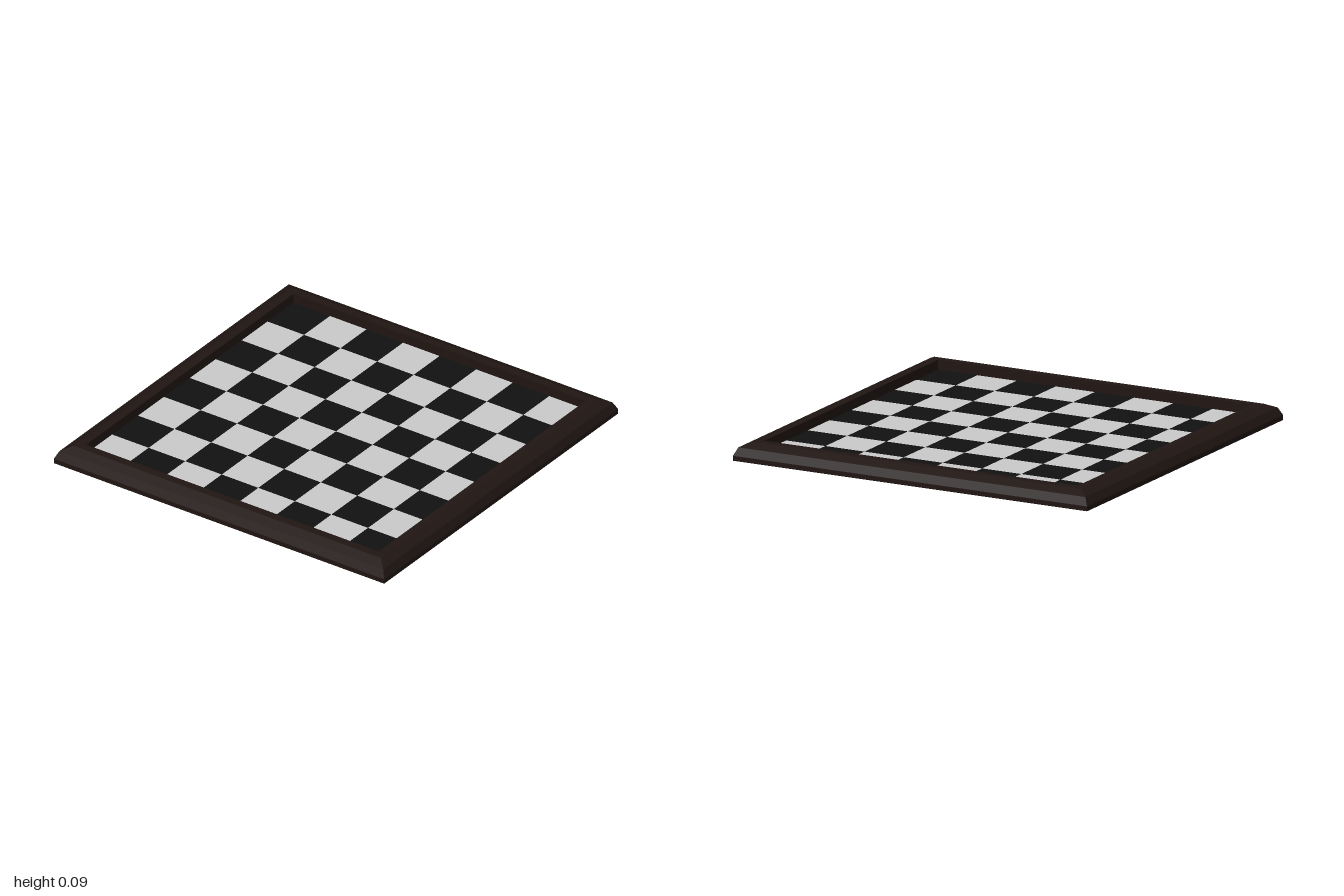
import * as THREE from 'three';

const FIELD = 0.885;   // half width of the playing field
const FLOOR = 0.04;    // height of the sunken field
const COUNT = 8;

export function createModel() {
  const board = new THREE.Group();
  board.name = 'chessboard';

  const wood = new THREE.MeshStandardMaterial({ color: 0x201613, flatShading: true });
  const light = new THREE.MeshStandardMaterial({ color: 0xcccccc });
  const dark = new THREE.MeshStandardMaterial({ color: 0x111111 });

  // Frame: a bevelled moulding swept round a square, closed underneath
  const profile = [
    [0, 0], [1, 0], [1, 0.025], [0.98, 0.066], [0.93, 0.09], [FIELD, 0.09], [FIELD, FLOOR],
  ].map(([r, y]) => new THREE.Vector2(r * Math.SQRT2, y));
  const frame = new THREE.Mesh(new THREE.LatheGeometry(profile, 4, Math.PI / 4), wood);
  frame.name = 'frame';
  board.add(frame);

  // Playing field: alternating squares, light in the back right corner
  const field = new THREE.Group();
  field.name = 'playingField';
  const size = (2 * FIELD) / COUNT;
  const tile = new THREE.PlaneGeometry(size, size).rotateX(-Math.PI / 2);
  for (let row = 0; row < COUNT; row++) {
    for (let col = 0; col < COUNT; col++) {
      const isLight = (row + col) % 2 === 0;
      const square = new THREE.Mesh(tile, isLight ? light : dark);
      square.name = isLight ? 'lightSquare' : 'darkSquare';
      square.position.set(-FIELD + (col + 0.5) * size, FLOOR, -FIELD + (row + 0.5) * size);
      field.add(square);
    }
  }
  board.add(field);

  return board;
}
